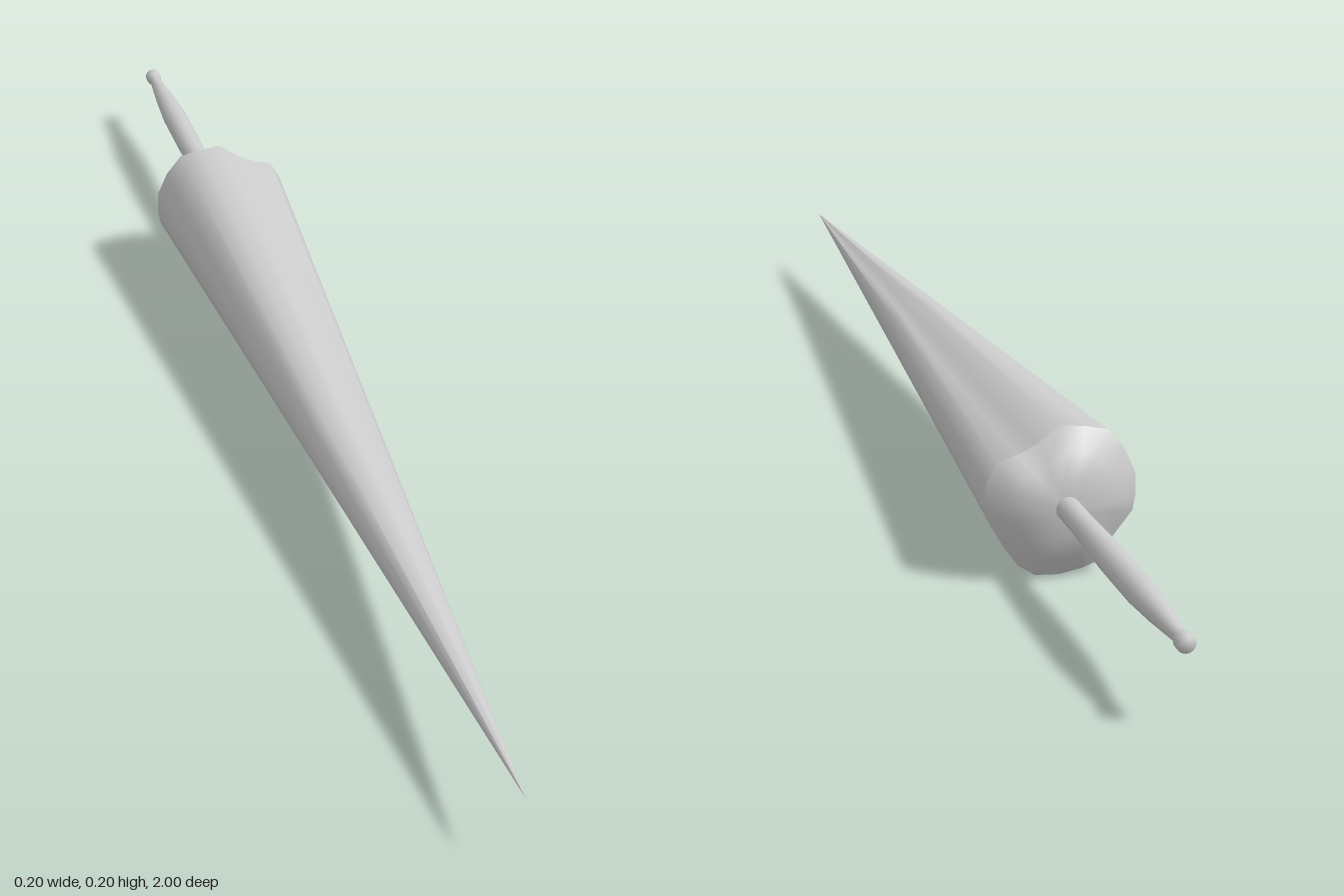
import * as THREE from 'three';

const AXIS_Y = 0.104;

// Folded cloth outline, counterclockwise seen from +z
const OUTLINE = [
  [0.101, 0.102], [0.097, 0.135], [0.083, 0.161], [0.057, 0.168], [0.032, 0.18],
  [0, 0.203], [-0.032, 0.199], [-0.062, 0.193], [-0.085, 0.165], [-0.1, 0.132],
  [-0.101, 0.102], [-0.097, 0.08], [-0.071, 0.047], [-0.06, 0.018], [-0.032, 0.008],
  [0, 0.002], [0.032, 0.004], [0.055, 0.019], [0.074, 0.046], [0.09, 0.074],
];

// Skin the outline through rings { z, scale, x }, ordered from back to front
function loft(rings) {
  const n = OUTLINE.length;
  const positions = [];
  const indices = [];
  rings.forEach(({ z, scale, x = 0 }, r) => {
    OUTLINE.forEach(([px, py], i) => {
      positions.push(x + px * scale, AXIS_Y + (py - AXIS_Y) * scale, z);
      if (r === 0) return;
      const j = (i + 1) % n;
      const a = (r - 1) * n;
      const b = r * n;
      indices.push(a + i, a + j, b + j, a + i, b + j, b + i);
    });
  });
  const geometry = new THREE.BufferGeometry();
  geometry.setAttribute('position', new THREE.Float32BufferAttribute(positions, 3));
  geometry.setIndex(indices);
  geometry.computeVertexNormals();
  return geometry;
}

export function createModel() {
  const group = new THREE.Group();
  group.name = 'closedUmbrella';
  const material = new THREE.MeshStandardMaterial({ color: 0xcccccc, side: THREE.DoubleSide });
  const add = (name, geometry) => {
    const mesh = new THREE.Mesh(geometry, material);
    mesh.name = name;
    group.add(mesh);
    return mesh;
  };

  // Long furled canopy tapering to a point slightly off the axis
  add('canopy', loft([
    { z: -0.51, scale: 1 },
    { z: 0.245, scale: 0.5, x: -0.0075 },
    { z: 1, scale: 0.002, x: -0.015 },
  ]));

  // Shallow domed end of the canopy around the shaft
  add('canopyEnd', loft([
    { z: -0.547, scale: 0.12 },
    { z: -0.545, scale: 0.4 },
    { z: -0.534, scale: 0.7 },
    { z: -0.51, scale: 1 },
  ]));

  // Shaft with a swollen grip, narrow neck and small end knob
  const profile = [
    [0.016, 0.5], [0.016, 0.6], [0.019, 0.72], [0.019, 0.83], [0.015, 0.9],
    [0.009, 0.97], [0.012, 0.982], [0.012, 0.994], [0.008, 1], [0, 1],
  ].map(([radius, length]) => new THREE.Vector2(radius, length));
  const handle = add('handle', new THREE.LatheGeometry(profile, 16));
  handle.rotation.x = -Math.PI / 2;
  handle.position.y = AXIS_Y;

  return group;
}
